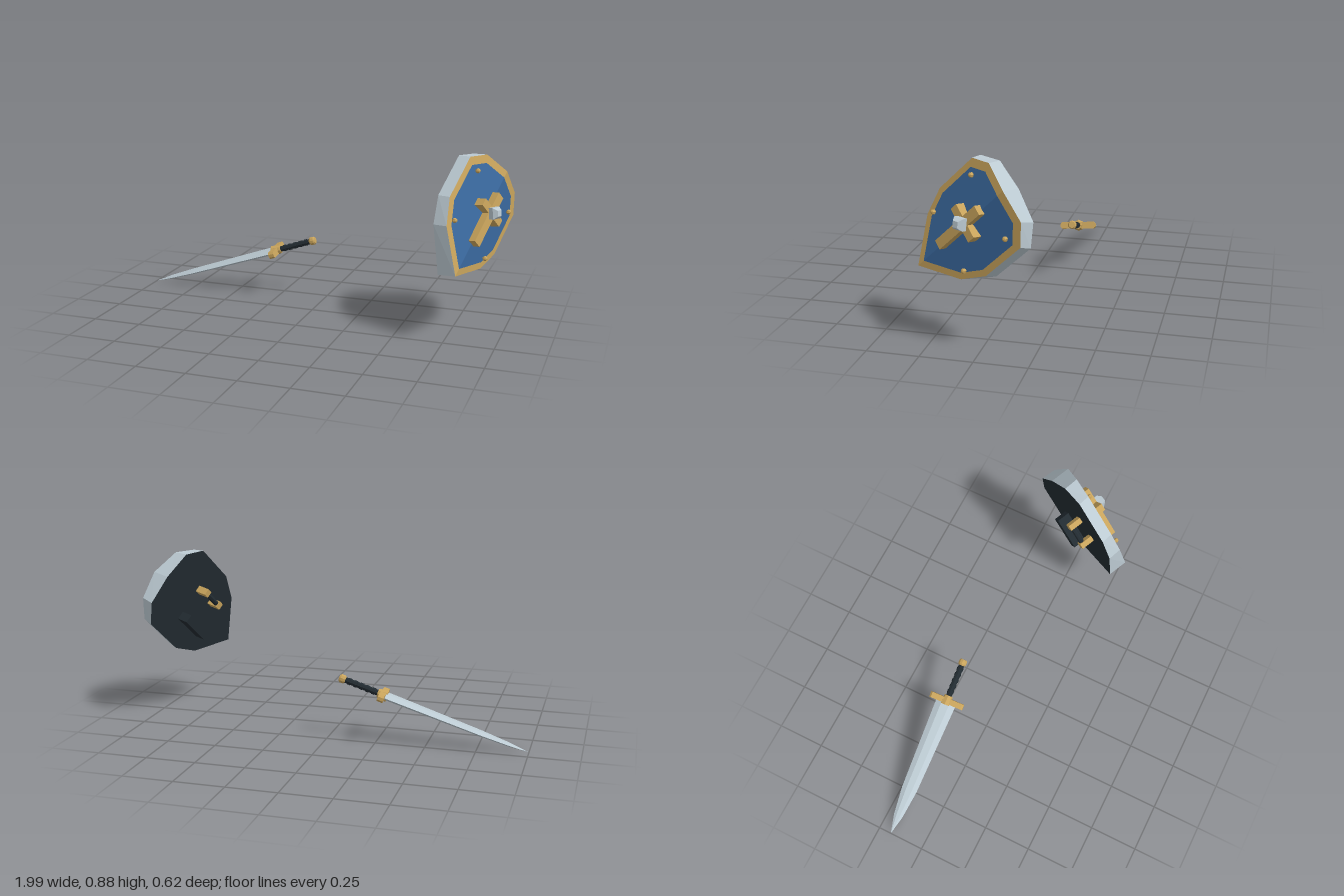
import * as THREE from 'three';

const material = (name, color) => {
  const m = new THREE.MeshStandardMaterial({ color, flatShading: true });
  m.name = name;
  return m;
};

// Side surface between successive loops of points
function loft(...loops) {
  const pos = [];
  for (let k = 0; k < loops.length - 1; k++) {
    const a = loops[k], b = loops[k + 1], n = a.length;
    for (let i = 0; i < n; i++) {
      const j = (i + 1) % n;
      for (const p of [a[i], a[j], b[j], a[i], b[j], b[i]]) pos.push(p.x, p.y, p.z);
    }
  }
  const g = new THREE.BufferGeometry();
  g.setAttribute('position', new THREE.Float32BufferAttribute(pos, 3));
  g.computeVertexNormals();
  return g;
}

function add(parent, name, geometry, mat, x = 0, y = 0, z = 0) {
  const mesh = new THREE.Mesh(geometry, mat);
  mesh.name = name;
  mesh.position.set(x, y, z);
  parent.add(mesh);
  return mesh;
}

// Orient a group by its local x (approximate) and y axes
function place(group, origin, xAxis, yAxis) {
  const y = new THREE.Vector3(...yAxis).normalize();
  const x = new THREE.Vector3(...xAxis);
  x.addScaledVector(y, -x.dot(y)).normalize();
  const z = new THREE.Vector3().crossVectors(x, y);
  group.quaternion.setFromRotationMatrix(new THREE.Matrix4().makeBasis(x, y, z));
  group.position.set(...origin);
}

export function createModel() {
  const steel = material('steel', 0xbccad2);
  const gold = material('gold', 0xc9a45c);
  const blue = material('blue', 0x3a699f);
  const dark = material('dark leather', 0x222b31);
  const V = (x, y, z) => new THREE.Vector3(x, y, z);
  const model = new THREE.Group();
  model.name = 'swordAndShield';

  // Sword: tip at the local origin, pommel along +y
  const sword = new THREE.Group();
  sword.name = 'sword';
  const section = [[1, 0], [0.4, -1], [-0.4, -1], [-1, 0], [-0.4, 1], [0.4, 1]];
  const stations = [[0, 0, 0], [0.1, 0.024, 0.008], [0.25, 0.041, 0.012], [0.745, 0.054, 0.016]];
  const rings = stations.map(([y, w, t]) => section.map(([a, b]) => V(a * w, y, b * t)));
  add(sword, 'blade', loft(...rings), steel);

  // Crossguard with chamfered ends
  const L = 0.094, H = 0.018, C = 0.01;
  const outline = [[L, H - C], [L - C, H], [C - L, H], [-L, H - C], [-L, C - H], [C - L, -H], [L - C, -H], [L, C - H]];
  const guard = new THREE.ExtrudeGeometry(
    new THREE.Shape(outline.map(([x, y]) => new THREE.Vector2(x, y))), { depth: 0.03, bevelEnabled: false });
  guard.translate(0, 0, -0.015).rotateX(Math.PI / 2);
  add(sword, 'crossguard', guard, gold, 0, 0.758, 0);
  add(sword, 'guardCollar', new THREE.CylinderGeometry(0.022, 0.03, 0.05, 8), gold, 0, 0.762, 0);

  // Grip, wrapped with thin bands
  add(sword, 'grip', new THREE.CylinderGeometry(0.015, 0.015, 0.19, 8), dark, 0, 0.87, 0);
  for (let i = 0; i < 5; i++)
    add(sword, 'gripWrap', new THREE.CylinderGeometry(0.0175, 0.0175, 0.016, 8), dark, 0, 0.81 + i * 0.032, 0);
  const pommel = [[0, 0], [0.016, 0], [0.022, 0.008], [0.022, 0.025], [0.017, 0.033], [0, 0.033]];
  add(sword, 'pommel', new THREE.LatheGeometry(pommel.map(p => new THREE.Vector2(...p)), 10), gold, 0, 0.959, 0);
  place(sword, [-1, 0.003, -0.183], [-0.066, 0.07, -1], [0.947, 0.317, -0.04]);
  model.add(sword);

  // Shield: bottom point at the local origin, +y up the ridge, +z out of the face
  const shield = new THREE.Group();
  shield.name = 'shield';
  const slope = 0.19, mid = 0.33, backZ = -0.105;
  const half = [[0.17, 0.163], [0.228, 0.29], [0.228, 0.532], [0.149, 0.611]];
  const edge = [[0, 0], ...half, [0, 0.627], ...half.slice().reverse().map(([x, y]) => [-x, y])];
  const front = edge.map(([x, y]) => V(x, y, -slope * Math.abs(x)));
  const inner = front.map(p => V(p.x * 0.87, mid + (p.y - mid) * 0.87, p.z * 0.87));
  const back = edge.map(([x, y]) => V(x * 1.05, y, backZ));
  add(shield, 'shieldRim', loft(back, front), steel);
  add(shield, 'faceBorder', loft(front, inner), gold);
  add(shield, 'facePanel', loft(inner, inner.map(() => V(0, mid, 0))), blue);
  add(shield, 'shieldBack', loft(back.map(() => V(0, mid, backZ)), back), dark);

  // Raised cross and faceted boss
  add(shield, 'crossUpright', new THREE.BoxGeometry(0.046, 0.29, 0.05), gold, 0, 0.335, 0.008);
  add(shield, 'crossBar', new THREE.BoxGeometry(0.17, 0.04, 0.05), gold, 0, 0.375, 0.008);
  add(shield, 'bossBase', new THREE.CylinderGeometry(0.039, 0.039, 0.025, 4).rotateX(Math.PI / 2), steel, 0, 0.373, 0.043);
  add(shield, 'bossTop', new THREE.CylinderGeometry(0.02, 0.039, 0.02, 4).rotateX(Math.PI / 2), steel, 0, 0.373, 0.0655);

  // Four studs
  for (const s of [-1, 1])
    for (const [x, y] of [[0.162, 0.5], [0.153, 0.211]])
      add(shield, 'stud', new THREE.SphereGeometry(0.013, 6, 4).rotateX(Math.PI / 2), gold, s * x, y, -slope * x + 0.01);

  // Hand grip and forearm pad on the back
  for (const s of [-1, 1])
    add(shield, 'gripPost', new THREE.BoxGeometry(0.036, 0.03, 0.075), gold, -0.075, 0.335 + s * 0.06, -0.14);
  add(shield, 'handGrip', new THREE.CylinderGeometry(0.014, 0.014, 0.12, 8), dark, -0.075, 0.335, -0.16);
  add(shield, 'armPad', new THREE.BoxGeometry(0.045, 0.18, 0.07), dark, 0.095, 0.31, -0.139);
  place(shield, [0.813, 0.361, 0.307], [0.387, -0.731, -0.562], [0.239, 0.675, -0.699]);
  model.add(shield);

  return model;
}
